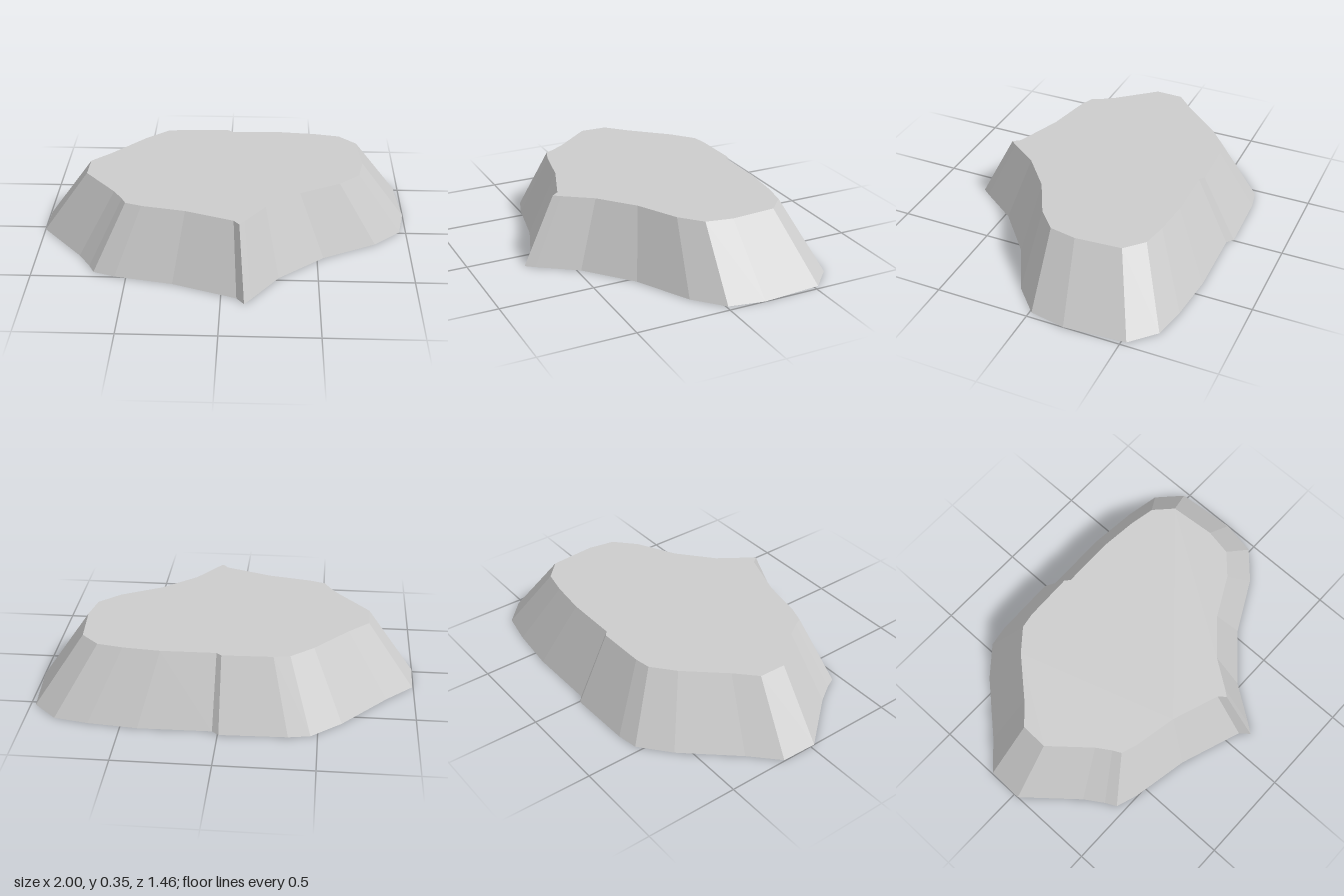
import * as THREE from 'three';

// Footprint at ground level, as x, z pairs
const outline = [
  [-0.995, -0.17], [-0.855, -0.305], [-0.62, -0.57], [-0.465, -0.70], [-0.353, -0.72],
  [-0.005, -0.73], [0.03, -0.70], [0.41, -0.705], [0.67, -0.68], [0.85, -0.645],
  [0.975, -0.525], [1, -0.20], [0.965, -0.01], [0.82, 0.125], [0.535, 0.275],
  [0.295, 0.48], [0.155, 0.68], [0.12, 0.725], [0.08, 0.675], [-0.255, 0.555],
  [-0.56, 0.495], [-0.675, 0.455], [-0.705, 0.395], [-0.77, 0.295], [-1, 0.025],
];
const HEIGHT = 0.355;
const TOP_SCALE = 0.75;

export function createModel() {
  const group = new THREE.Group();
  group.name = 'rockPlateau';

  const shape = new THREE.Shape(outline.map(([x, z]) => new THREE.Vector2(x, -z)));
  const geometry = new THREE.ExtrudeGeometry(shape, { depth: HEIGHT, bevelEnabled: false });
  geometry.rotateX(-Math.PI / 2);

  // Shrink the upper outline towards the centre so the walls slope inwards
  const pos = geometry.attributes.position;
  for (let i = 0; i < pos.count; i++) {
    if (pos.getY(i) > HEIGHT / 2) {
      pos.setX(i, pos.getX(i) * TOP_SCALE);
      pos.setZ(i, pos.getZ(i) * TOP_SCALE);
    }
  }
  geometry.computeVertexNormals();

  const rock = new THREE.Mesh(
    geometry,
    new THREE.MeshStandardMaterial({ color: 0xcccccc, flatShading: true }),
  );
  rock.name = 'rock';
  group.add(rock);
  return group;
}
